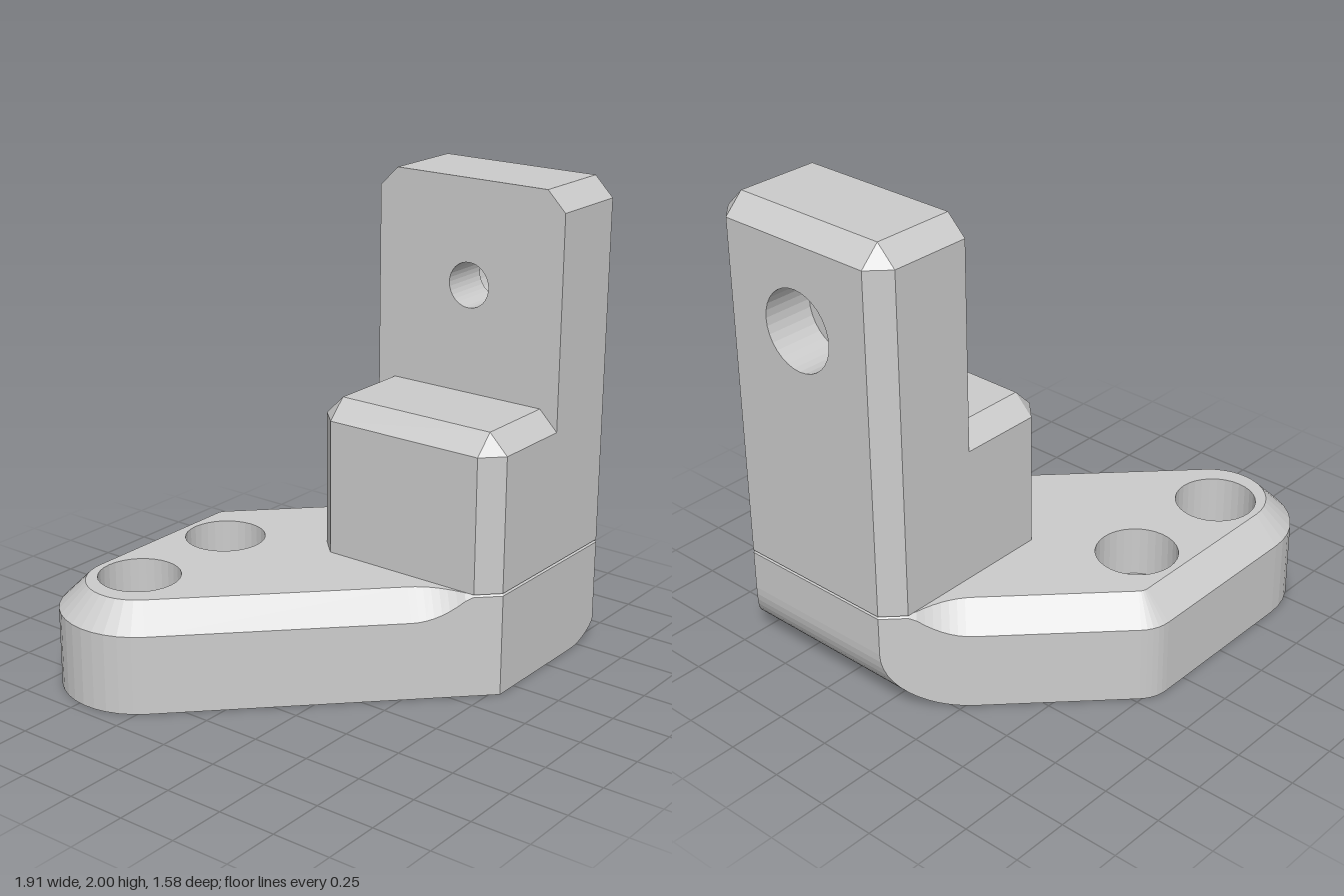
import * as THREE from 'three';
import { mergeGeometries } from 'three/addons/utils/BufferGeometryUtils.js';

const SEG = 32;            // sides of every bore
const SEAM = 0.445;        // height where block meets base
const CH = 0.083;          // block chamfer
const EDGE = 0.953;        // +x face

function triangles(list) {
  const g = new THREE.BufferGeometry();
  g.setAttribute('position', new THREE.Float32BufferAttribute(list, 3));
  return g;
}

// flat end with round openings, optionally facing down
function cap(ring, openings, down) {
  const shape = new THREE.Shape(ring.map(p => new THREE.Vector2(p[0], p[1])));
  for (const [u, v, r] of openings) {
    const pts = [];
    for (let i = 0; i < SEG; i++) {
      const a = (i / SEG) * Math.PI * 2;
      pts.push(new THREE.Vector2(u + r * Math.cos(a), v + r * Math.sin(a)));
    }
    shape.holes.push(new THREE.Path(pts));
  }
  const g = new THREE.ShapeGeometry(shape).translate(0, 0, ring[0][2]);
  if (down) g.index.array.reverse();
  return triangles([...g.toNonIndexed().attributes.position.array]);
}

// solid from counter-clockwise rings of [u, v, h]; bores are {u, v, profile: [[radius, h], ...] from top down}
function solid(name, rings, bores) {
  const walls = [];
  for (let k = 0; k + 1 < rings.length; k++) {
    const lo = rings[k], hi = rings[k + 1];
    lo.forEach((a, i) => {
      const j = (i + 1) % lo.length;
      walls.push(...a, ...lo[j], ...hi[j], ...a, ...hi[j], ...hi[i]);
    });
  }
  const first = rings[0], last = rings[rings.length - 1];
  const parts = [triangles(walls)];
  for (const [ring, down] of [[first, true], [last, false]]) {
    const openings = bores
      .map(b => [b.u, b.v, ...b.profile[down ? b.profile.length - 1 : 0]])
      .map(([u, v, r]) => [u, v, r]);
    parts.push(cap(ring, openings, down));
  }
  for (const b of bores) {
    const g = new THREE.LatheGeometry(b.profile.map(p => new THREE.Vector2(...p)), SEG);
    g.rotateX(Math.PI / 2).translate(b.u, b.v, 0);
    parts.push(triangles([...g.toNonIndexed().attributes.position.array]));
  }
  const geo = mergeGeometries(parts);
  geo.computeVertexNormals();
  const mesh = new THREE.Mesh(geo, new THREE.MeshStandardMaterial({ color: 0xcccccc, flatShading: true }));
  mesh.name = name;
  return mesh;
}

// base outline, u = x and v = -z: points carry an outward direction n and a top chamfer c
function baseOutline(xMax) {
  const pts = [];
  const add = (u, v, angle, c) => {
    const a = THREE.MathUtils.degToRad(angle);
    pts.push({ u, v, n: [Math.cos(a), Math.sin(a)], c });
  };
  const arc = (u, v, r, from, to, steps) => {
    for (let i = 0; i <= steps; i++) {
      const deg = from + (to - from) * i / steps, a = THREE.MathUtils.degToRad(deg);
      add(u + r * Math.cos(a), v + r * Math.sin(a), deg, 0.11);
    }
  };
  const taper = s => Math.max(0.012, 0.11 * (1 - s * s));
  const steps = 8;
  // corner under the block
  add(Math.min(0.87, xMax), -0.785, -67, 0.012);
  add(xMax, -Math.min(0.785, 1.655 - xMax), -23, 0.012);
  add(xMax, 0.97 - xMax, 23, 0.012);
  // back diagonal, chamfer growing away from the block
  for (let i = 0; i <= steps; i++) {
    const u = Math.min(0.87 - 0.18 * i / steps, xMax);
    add(u, 0.97 - u, 45, taper(1 - i / steps));
  }
  arc(0.114, 0.63, 0.16, 45, 90, 5);
  arc(-0.619, 0.456, 0.334, 90, 225, 14);
  // front diagonal, chamfer fading into the block
  for (let i = 0; i <= steps; i++) {
    const u = -0.11 + 0.175 * i / steps;
    add(u, -0.635 - u, 225, taper(i / steps));
  }
  add(0.15, -0.785, 247, 0.012);
  return pts;
}

function makeBase() {
  const rings = [];
  // rounded lower edge on the +x side
  const R = 0.263, steps = 12;
  for (let i = 0; i <= steps; i++) {
    const a = (i / steps) * Math.PI / 2;
    const y = R * (1 - Math.cos(a));
    rings.push(baseOutline(EDGE - R + R * Math.sin(a)).map(p => [p.u, p.v, y]));
  }
  // top chamfer
  const top = baseOutline(EDGE);
  rings.push(top.map(p => [p.u, p.v, SEAM - p.c]));
  rings.push(top.map(p => [p.u - p.n[0] * p.c, p.v - p.n[1] * p.c, SEAM]));
  // two counterbored mounting holes and a bolt hole entered from below
  const bores = [-0.602, -0.068].map(u => ({
    u, v: 0.48, profile: [[0.17, SEAM], [0.17, 0.225], [0.095, 0.225], [0.095, 0]],
  }));
  bores.push({ u: 0.515, v: -0.345, profile: [[0.095, SEAM], [0.095, 0.22], [0.17, 0.22], [0.17, 0]] });
  const base = solid('basePlate', rings, bores);
  base.rotation.x = -Math.PI / 2;
  return base;
}

// low step beside the upright
function makeStep() {
  const x0 = 0.065, x1 = 0.51, f = -0.785, b = 0.1, top = 1.105;
  const plan = [[x1, f], [x1, b], [x0 + CH, b], [x0, b - CH], [x0, f + CH], [x0 + CH, f]];
  const inset = plan.map(([u, v]) => [Math.max(u, x0 + CH), THREE.MathUtils.clamp(v, f + CH, b - CH)]);
  const at = (p, h) => p.map(q => [...q, h]);
  const step = solid('step', [at(plan, SEAM), at(plan, top - CH), at(inset, top)], []);
  step.rotation.x = -Math.PI / 2;
  return step;
}

// tall upright, stacked along x with u = -z and v = y
function makeUpright() {
  const f = -0.785, b = 0.1, top = 2;
  const side = [[f, SEAM], [b, SEAM], [b, top - CH], [b - CH, top], [f + CH, top], [f, top - CH]];
  const inset = side.map(([u, v]) => [THREE.MathUtils.clamp(u, f + CH, b - CH), Math.min(v, top - CH)]);
  const at = (p, h) => p.map(q => [...q, h]);
  const bore = { u: -0.345, v: 1.56, profile: [[0.17, EDGE], [0.17, 0.733], [0.095, 0.733], [0.095, 0.51]] };
  const upright = solid('upright', [at(side, 0.51), at(side, EDGE - CH), at(inset, EDGE)], [bore]);
  upright.rotation.y = Math.PI / 2;
  return upright;
}

export function createModel() {
  const group = new THREE.Group();
  group.name = 'mountingBracket';
  group.add(makeBase(), makeStep(), makeUpright());
  return group;
}
